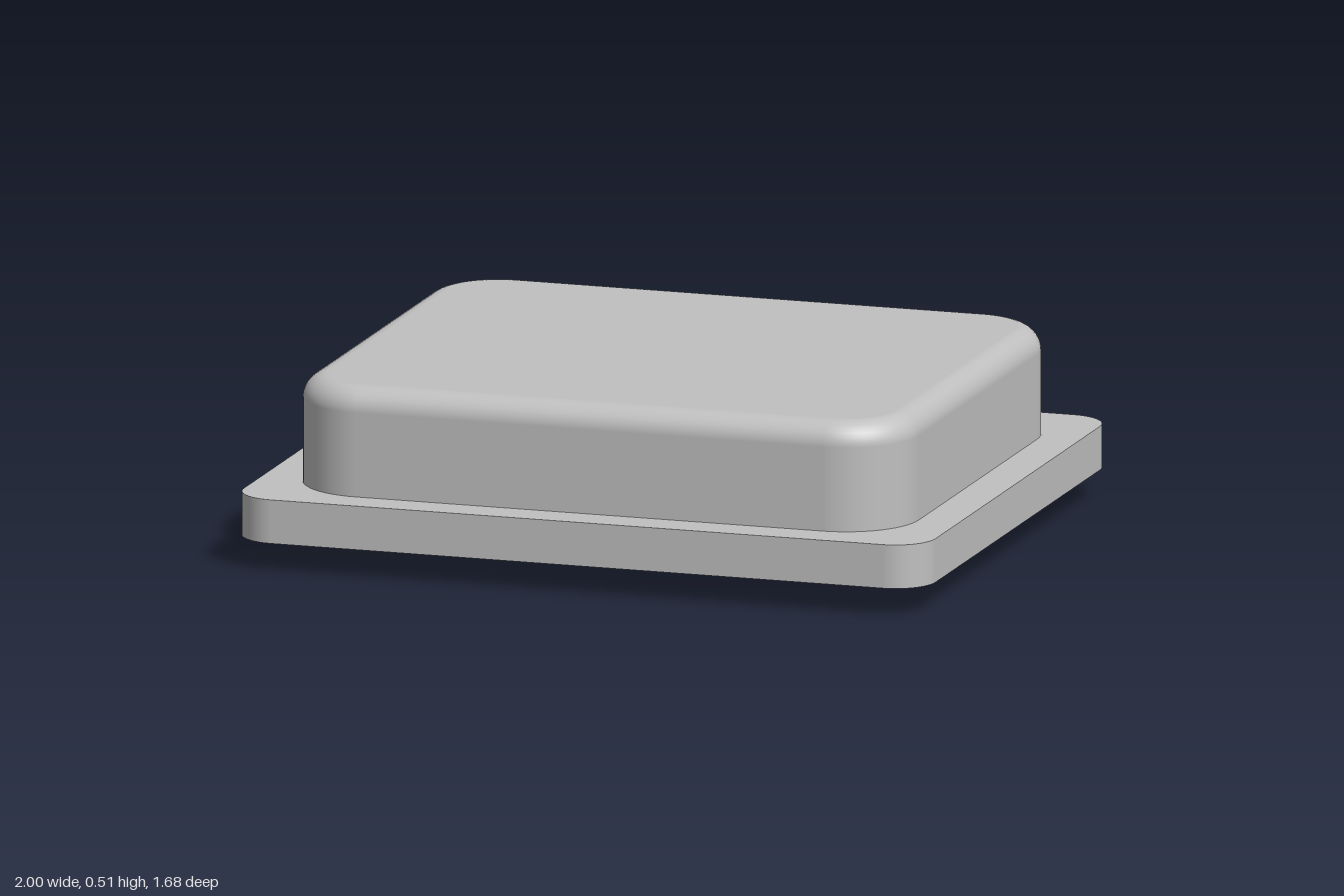
import * as THREE from 'three';

const CORNER_STEPS = 14;
const FILLET_STEPS = 8;

// Closed block with a rounded-rectangle plan and an optional rounded upper rim
function roundedBlock(halfX, halfZ, radius, bottom, top, fillet = 0) {
  // Plan outline: corner centre signs plus angle
  const plan = [];
  for (let q = 0; q < 4; q++) {
    const sx = q === 0 || q === 3 ? 1 : -1;
    const sz = q < 2 ? 1 : -1;
    for (let i = 0; i <= CORNER_STEPS; i++) {
      plan.push({ sx, sz, a: (q + i / CORNER_STEPS) * Math.PI / 2 });
    }
  }

  // Cross-sections from bottom centre to top centre
  const rows = [
    { scale: 0, inset: 0, y: bottom, out: 0, up: -1 },
    { scale: 1, inset: 0, y: bottom, out: 0, up: -1 },
    { scale: 1, inset: 0, y: bottom, out: 1, up: 0 },
  ];
  const steps = fillet > 0 ? FILLET_STEPS : 0;
  for (let i = 0; i <= steps; i++) {
    const t = steps ? (i / steps) * Math.PI / 2 : 0;
    const out = Math.cos(t), up = Math.sin(t);
    rows.push({ scale: 1, inset: fillet * (1 - out), y: top - fillet * (1 - up), out, up });
  }
  rows.push({ scale: 1, inset: fillet, y: top, out: 0, up: 1 });
  rows.push({ scale: 0, inset: 0, y: top, out: 0, up: 1 });

  const positions = [], normals = [], index = [];
  for (const row of rows) {
    for (const { sx, sz, a } of plan) {
      const r = radius - row.inset;
      positions.push(
        row.scale * (sx * (halfX - radius) + r * Math.cos(a)),
        row.y,
        row.scale * (sz * (halfZ - radius) + r * Math.sin(a)),
      );
      normals.push(row.out * Math.cos(a), row.up, row.out * Math.sin(a));
    }
  }
  const n = plan.length;
  for (let r = 0; r < rows.length - 1; r++) {
    const lo = rows[r], hi = rows[r + 1];
    // Hard edges share a position, so there is no band between them
    if (lo.scale === hi.scale && Math.abs(lo.y - hi.y) < 1e-6) continue;
    for (let i = 0; i < n; i++) {
      const j = (i + 1) % n;
      const a = r * n + i, b = r * n + j, c = a + n, d = b + n;
      if (hi.scale) index.push(a, c, d);
      if (lo.scale) index.push(a, d, b);
    }
  }
  const geometry = new THREE.BufferGeometry();
  geometry.setAttribute('position', new THREE.Float32BufferAttribute(positions, 3));
  geometry.setAttribute('normal', new THREE.Float32BufferAttribute(normals, 3));
  geometry.setIndex(index);
  return geometry;
}

export function createModel() {
  const model = new THREE.Group();
  model.name = 'flangedCap';

  const grey = new THREE.MeshStandardMaterial({ color: 0xc0c0c0 });
  grey.name = 'light grey';

  const add = (name, geometry, y = 0) => {
    const mesh = new THREE.Mesh(geometry, grey);
    mesh.name = name;
    mesh.position.y = y;
    model.add(mesh);
  };

  // Wide flange with softly rounded corners
  add('basePlate', roundedBlock(1, 0.842, 0.115, 0.08, 0.203));
  // Raised body with a rounded upper rim
  add('raisedBody', roundedBlock(0.885, 0.735, 0.21, 0.203, 0.508, 0.068));
  // Short round peg underneath
  add('bottomPeg', new THREE.CylinderGeometry(0.152, 0.152, 0.08, 64), 0.04);

  return model;
}
